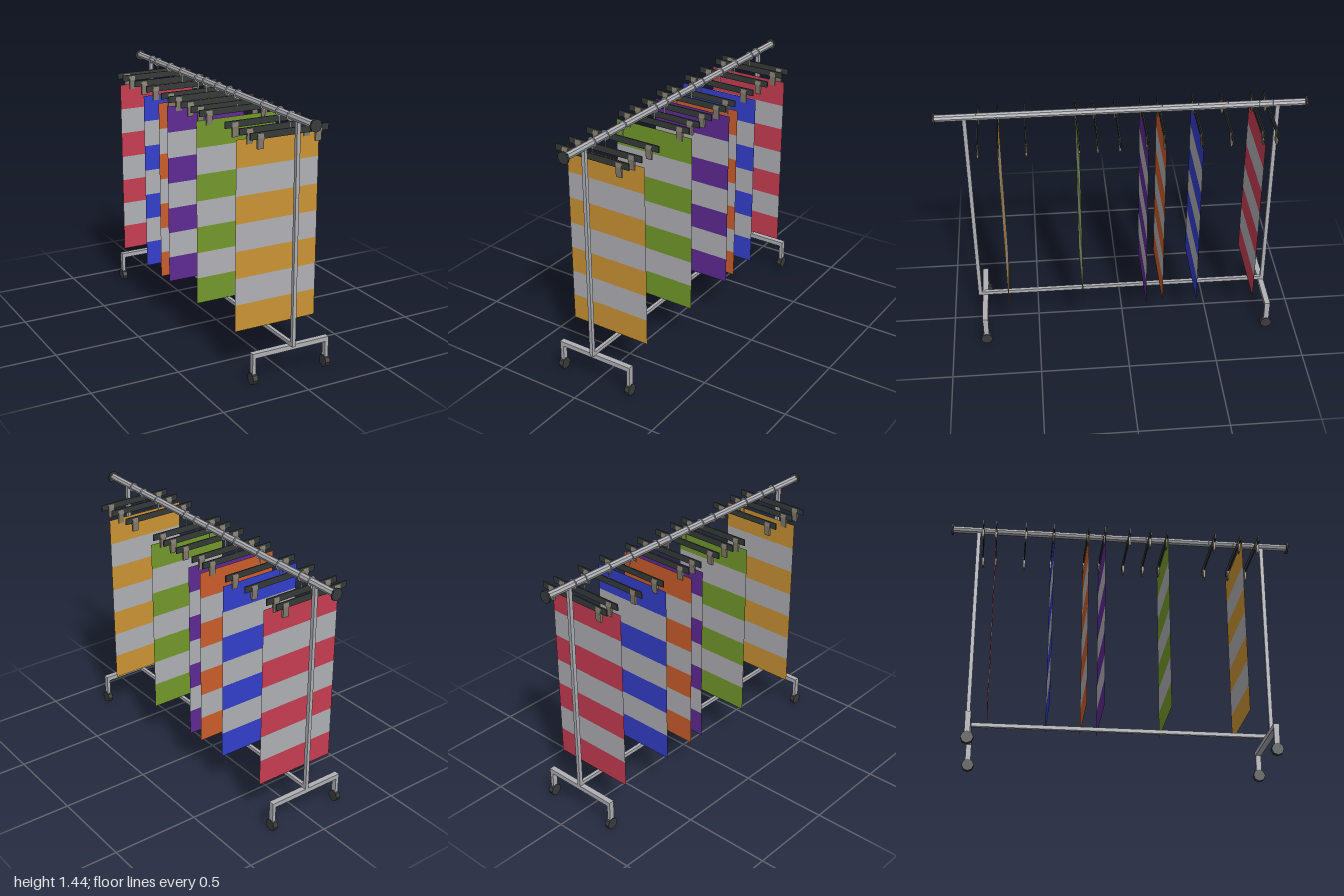
import * as THREE from 'three';

const mat = (name, color, side = THREE.FrontSide) => {
  const m = new THREE.MeshStandardMaterial({ color, side });
  m.name = name;
  return m;
};

export function createModel() {
  const root = new THREE.Group();
  root.name = 'clothesRack';
  const DS = THREE.DoubleSide;
  const steel = mat('steelGrey', 0xb0b1b6, DS);
  const black = mat('rubberBlack', 0x3a3b3d);
  const hangerMat = mat('hangerCharcoal', 0x353b39);
  const clipMat = mat('clipBeige', 0x857d70);

  const add = (parent, name, geo, material, x, y, z) => {
    const m = new THREE.Mesh(geo, material);
    m.name = name;
    m.position.set(x, y, z);
    parent.add(m);
    return m;
  };
  const box = (parent, name, w, h, d, x, y, z, material = steel) =>
    add(parent, name, new THREE.BoxGeometry(w, h, d), material, x, y, z);
  // Eight-sided cylinder lying along z or x
  const rod = (r, len, axis) => {
    const g = new THREE.CylinderGeometry(r, r, len, 8).toNonIndexed();
    if (axis === 'z') g.rotateX(Math.PI / 2);
    else g.rotateZ(Math.PI / 2);
    g.computeVertexNormals();
    return g;
  };

  // Hanging rail with end caps
  const railY = 1.402, cx = 0.002;
  add(root, 'topRail', rod(0.02, 1.985, 'z'), steel, cx, railY, 0);
  for (const s of [1, -1]) add(root, 'railCap', rod(0.034, 0.01, 'z'), black, cx, railY, s * 0.995);

  // Frame: posts and bottom rail
  for (const z of [0.837, -0.842]) box(root, 'post', 0.02, 1.208, 0.022, cx, 0.782, z);
  box(root, 'bottomRail', 0.02, 0.021, 1.66, cx, 0.189, -0.0025);

  // Feet with caster wheels
  for (const z of [0.808, -0.835]) {
    const foot = new THREE.Group();
    foot.name = 'foot';
    foot.position.z = z;
    root.add(foot);
    box(foot, 'footBar', 0.466, 0.027, 0.032, cx, 0.165, 0);
    for (const s of [1, -1]) {
      box(foot, 'leg', 0.02, 0.12, 0.03, cx + s * 0.223, 0.0935, 0);
      add(foot, 'wheel', rod(0.034, 0.028, 'x'), black, cx + s * 0.223, 0.034, 0);
    }
  }

  // Clip: tapered side profile extruded across its width
  const profile = new THREE.Shape([
    [-0.003, 0.04], [-0.008, 0.015], [-0.005, -0.04],
    [0.005, -0.04], [0.008, 0.015], [0.003, 0.04],
  ].map(([a, b]) => new THREE.Vector2(a, b)));
  const clipGeo = new THREE.ExtrudeGeometry(profile, { depth: 0.035, bevelEnabled: false });
  clipGeo.translate(0, 0, -0.0175).rotateY(Math.PI / 2);

  // Striped cloth: seven bands alternating colour and grey
  const cloth = (parent, material, x) => {
    const top = 1.285, h = 1.04 / 7;
    for (let i = 0; i < 7; i++) {
      add(parent, 'clothStripe', new THREE.PlaneGeometry(0.49, h), i % 2 ? steel : material,
        x, top - h * (i + 0.5), 0);
    }
  };

  // Hangers from front to back, some carrying a cloth
  const hangers = [
    [0.772], [0.666, mat('amber', 0xcb9434, DS)], [0.518],
    [0.24, mat('green', 0x73992a, DS)], [0.142], [0.024],
    [-0.12, mat('purple', 0x5f2a94, DS), 0.002], [-0.215, mat('orange', 0xcc5d2b, DS)],
    [-0.411, mat('blue', 0x343fcc, DS)], [-0.57], [-0.74, mat('red', 0xc83d52, DS)], [-0.813],
  ];
  for (const [z, material, x = -0.004] of hangers) {
    const g = new THREE.Group();
    g.name = 'hanger';
    g.position.z = z;
    root.add(g);
    box(g, 'hangerBar', 0.456, 0.036, 0.007, -0.003, 1.323, 0, hangerMat);
    for (const s of [1, -1]) add(g, 'clip', clipGeo, clipMat, -0.004 + s * 0.168, 1.295, 0);
    // Flat hook around the rail
    add(g, 'hookRing', new THREE.RingGeometry(0.019, 0.027, 12), steel, cx, railY, 0);
    add(g, 'hookNeck', new THREE.PlaneGeometry(0.008, 0.044), steel, cx, 1.358, 0);
    if (material) cloth(g, material, x);
  }
  return root;
}
